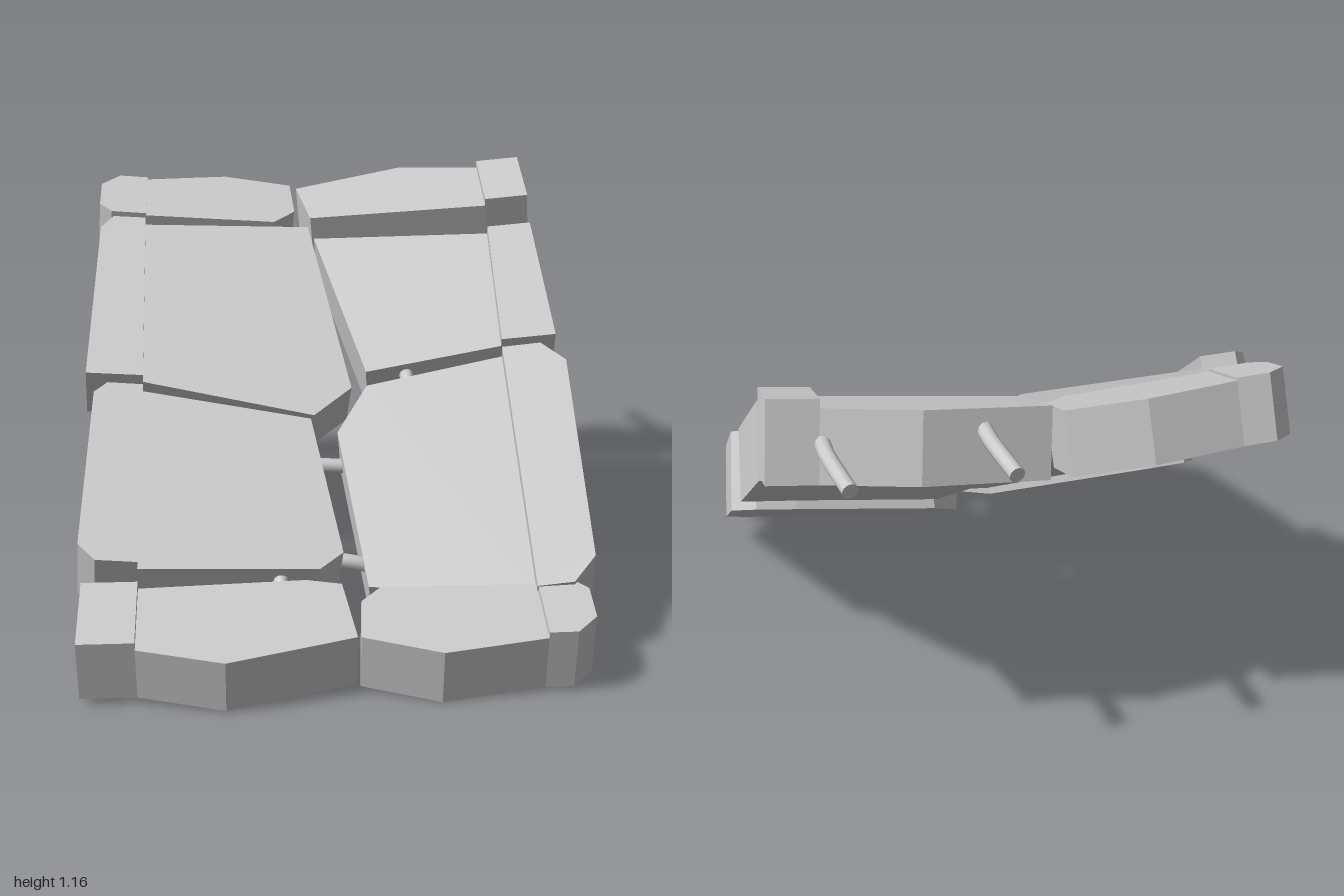
import * as THREE from 'three';

const stone = new THREE.MeshStandardMaterial({ color: 0xcccccc, flatShading: true });
const steel = new THREE.MeshStandardMaterial({ color: 0xcccccc });

// Prism on the tilted plane y = y0 + sx * x + sz * z, from `low` to `high` along its normal
function tiltedPrism(name, outline, [y0, sx, sz], low, high) {
  const shape = new THREE.Shape(outline.map(([x, z]) => new THREE.Vector2(x, -z)));
  const geometry = new THREE.ExtrudeGeometry(shape, { depth: 1, bevelEnabled: false });
  const normal = new THREE.Vector3(-sx, 1, -sz).normalize();
  const pos = geometry.attributes.position;
  const p = new THREE.Vector3();
  for (let i = 0; i < pos.count; i++) {
    const x = pos.getX(i), z = -pos.getY(i), d = pos.getZ(i);
    p.set(x, y0 + sx * x + sz * z, z).addScaledVector(normal, low + (high - low) * d);
    pos.setXYZ(i, p.x, p.y, p.z);
  }
  geometry.computeVertexNormals();
  const mesh = new THREE.Mesh(geometry, stone);
  mesh.name = name;
  return mesh;
}

// Outer kerb corner, cut by c; dir is +1 at the front, -1 at the back
const corner = (x, z, c, dir) => (c ? [[x - c, z], [x, z - dir * c]] : [[x, z]]);

// Broken slab with a raised kerb on its outer side. side: +1 left, -1 right.
// front and back: [z, y] of the kerb line's ends, then the outer x and corner cut.
// inner: broken edge from front to back, with x measured towards the kerb.
function brokenSlab(name, side, [zf, yf, xf, cf], [zb, yb, xb, cb], inner, { tilt, kerb, thick }) {
  const kerbX = side > 0 ? 0.55 : 0.572;
  const sz = (yf - yb) / (zf - zb);
  const surface = [yf - sz * zf - tilt * kerbX, side * tilt, sz];
  const mirror = (points) => points.map(([x, z]) => [side * x, z]);
  const strip = [
    [kerbX, zb],
    ...corner(xb, zb, cb, -1),
    ...corner(xf, zf, cf, 1).reverse(),
    [kerbX, zf],
  ];
  const group = new THREE.Group();
  group.name = name;
  group.add(
    tiltedPrism('slab', mirror([...inner, ...strip]), surface, -thick, 0),
    tiltedPrism('kerb', mirror(strip), surface, -0.02, kerb),
  );
  return group;
}

// Reinforcing rod with closed ends
function rod(...points) {
  const radius = 0.022;
  const path = new THREE.CatmullRomCurve3(points.map((p) => new THREE.Vector3(...p)));
  const group = new THREE.Group();
  group.name = 'reinforcingRod';
  group.add(new THREE.Mesh(new THREE.TubeGeometry(path, 10, radius, 10), steel));
  for (const t of [0, 1]) {
    const cap = new THREE.Mesh(new THREE.CircleGeometry(radius, 10), steel);
    const outward = path.getTangent(t).multiplyScalar(t ? 1 : -1);
    cap.position.copy(path.getPoint(t));
    cap.quaternion.setFromUnitVectors(new THREE.Vector3(0, 0, 1), outward);
    group.add(cap);
  }
  return group;
}

export function createModel() {
  const model = new THREE.Group();
  model.name = 'brokenRoadSection';

  // Front row, nearly level
  model.add(
    brokenSlab('frontRightSlab', -1, [0.94, 0.185, 0.73, 0], [0.69, 0.25, 0.73, 0],
      [[0.33, 1], [-0.03, 0.91], [0, 0.69], [0.1, 0.67]], { tilt: 0, kerb: 0.025, thick: 0.17 }),
    brokenSlab('frontLeftSlab', 1, [0.93, 0.185, 0.69, 0.06], [0.7, 0.24, 0.69, 0.05],
      [[0.26, 0.975], [0.04, 0.9], [0.05, 0.75], [0.11, 0.69]], { tilt: 0.01, kerb: 0.02, thick: 0.175 }),
  );

  // Two steep middle rows
  model.add(
    brokenSlab('lowerRightSlab', -1, [0.69, 0.31, 0.74, 0.05], [0.05, 0.615, 0.72, 0.04],
      [[0.06, 0.66], [-0.01, 0.6], [0.06, 0.12]], { tilt: 0.08, kerb: 0.03, thick: 0.18 }),
    brokenSlab('lowerLeftSlab', 1, [0.72, 0.215, 0.725, 0.07], [-0.06, 0.672, 0.74, 0.07],
      [[0.08, 0.64], [0.02, 0.14], [0.12, -0.01]], { tilt: 0.1, kerb: 0.045, thick: 0.195 }),
    brokenSlab('upperRightSlab', -1, [0.04, 0.642, 0.745, 0], [-0.48, 1.01, 0.715, 0.04],
      [[0.05, 0.12], [-0.07, 0.03], [0.04, -0.5]], { tilt: 0.065, kerb: 0.035, thick: 0.17 }),
    brokenSlab('upperLeftSlab', 1, [-0.08, 0.7, 0.72, 0], [-0.46, 0.97, 0.69, 0],
      [[0.12, -0.04], [-0.02, -0.5]], { tilt: 0.085, kerb: 0.035, thick: 0.185 }),
  );

  // Back row
  model.add(
    brokenSlab('backRightSlab', -1, [-0.54, 1.027, 0.725, 0.04], [-0.76, 1.1, 0.725, 0.06],
      [[0.15, -0.55], [0.08, -0.62], [0.09, -0.78], [0.31, -0.81]], { tilt: 0.08, kerb: 0.008, thick: 0.18 }),
    brokenSlab('backLeftSlab', 1, [-0.52, 1.05, 0.69, 0], [-0.76, 1.128, 0.69, 0],
      [[-0.03, -0.55], [-0.07, -0.74], [0.29, -0.81]], { tilt: 0.09, kerb: 0.025, thick: 0.2 }),
  );

  // Rods sticking out of the back edge
  for (const x of [0.12, 0.545]) {
    model.add(rod([x + 0.005, 1.04, -0.76], [x, 1.035, -0.85], [x - 0.035, 1.01, -1]));
  }
  // Rods bridging the gaps
  model.add(
    rod([-0.1, 0.4, 0.14], [0.06, 0.39, 0.14]),
    rod([-0.04, 0.25, 0.51], [0.04, 0.24, 0.52], [0.12, 0.22, 0.52]),
    rod([0.25, 0.6, -0.12], [0.25, 0.61, -0.05], [0.25, 0.53, 0.02]),
    rod([0.68, 0.66, -0.15], [0.69, 0.64, -0.08], [0.69, 0.58, -0.03]),
    rod([-0.17, 0.26, 0.6], [-0.17, 0.23, 0.67], [-0.17, 0.15, 0.7]),
  );
  return model;
}
